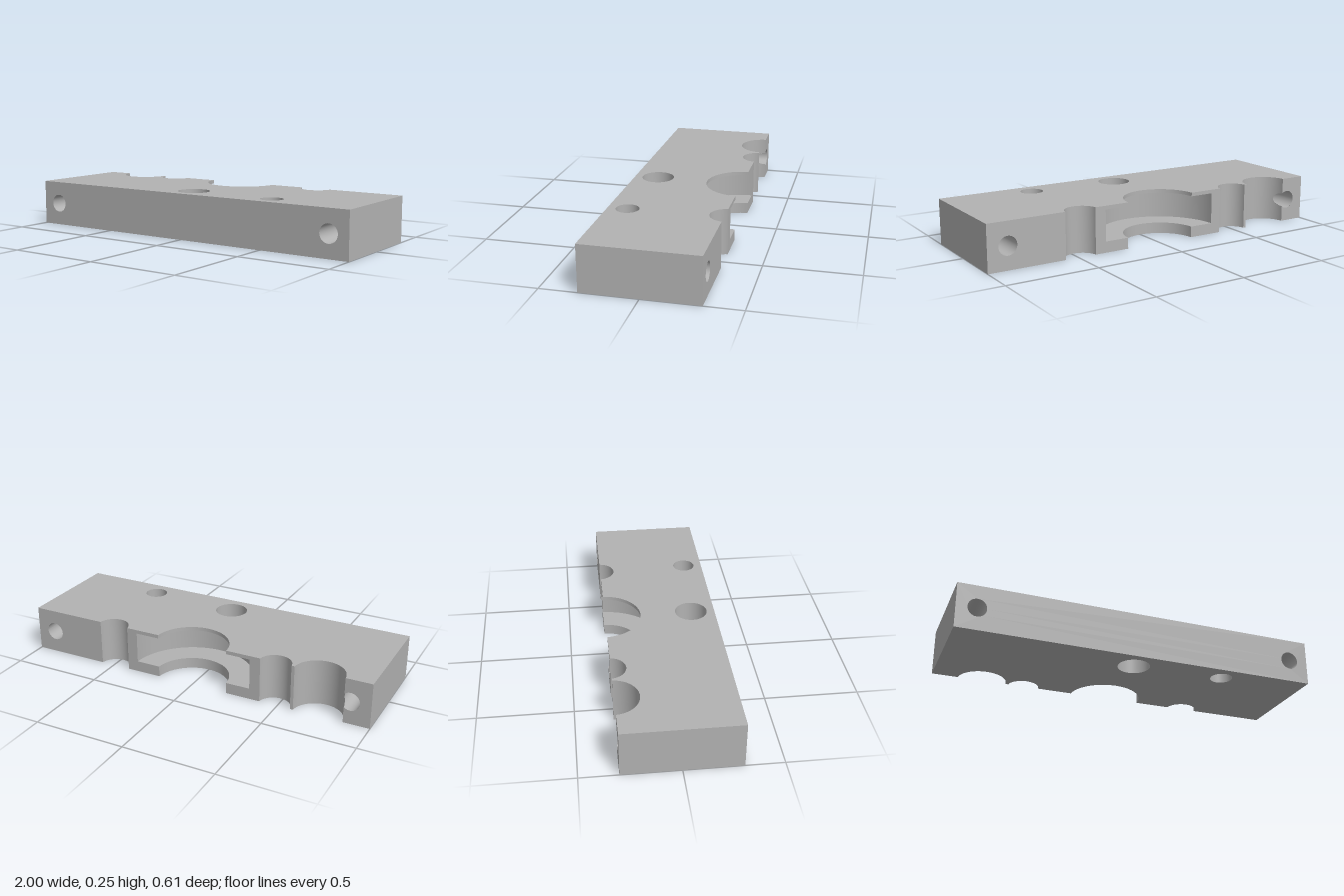
import * as THREE from 'three';

const H = 0.25, D = 0.3025;            // block height, half depth
const CZ = -0.311;                     // centre line of the rear scallops
const G0 = 0.06, G1 = 0.23, GR = 0.34; // ring groove: floor, ceiling, radius
const SEG = 24;
const scallops = [                     // right to left along the rear edge
  { x: 0.487, r: 0.087 }, { x: 0, r: 0.204 }, { x: -0.485, r: 0.087 }, { x: -0.723, r: 0.135 },
];
const shafts = [{ x: 0, z: 0.173, r: 0.088 }, { x: 0.509, z: 0.198, r: 0.061 }];
const BX = 0.89, BY = 0.125, BR = 0.05; // horizontal bolt holes

const tilt = (r) => Math.asin((-D - CZ) / r);
const edge = (s, side) => s.x + side * s.r * Math.cos(tilt(s.r));

export function createModel() {
  const group = new THREE.Group();
  const grey = new THREE.MeshStandardMaterial({ color: 0xb2b2b2, side: THREE.DoubleSide });
  grey.name = 'machined grey';

  const add = (name, geometry) => {
    const mesh = new THREE.Mesh(geometry, grey);
    mesh.name = name;
    group.add(mesh);
    return mesh;
  };
  const flip = (g) => {
    const index = g.index.array;
    for (let i = 0; i < index.length; i += 3) [index[i], index[i + 1]] = [index[i + 1], index[i]];
    g.computeVertexNormals();
    return g;
  };
  const polygon = (points) => new THREE.Shape(points.map((p) => new THREE.Vector2(...p)));
  const circle = (x, y, r) => new THREE.Path().absarc(x, y, r, 0, Math.PI * 2, true);

  // Horizontal plate from a plan drawn in (x, -z)
  const level = (name, shape, y, down) => {
    const g = new THREE.ShapeGeometry(shape, SEG).rotateX(-Math.PI / 2).translate(0, y, 0);
    add(name, down ? flip(g) : g);
  };
  // Upright plate drawn in (x, y)
  const upright = (name, shape, z, back) => {
    const g = new THREE.ShapeGeometry(shape, SEG).translate(0, 0, z);
    add(name, back ? flip(g) : g);
  };
  // Smooth surface stretched between two curves
  const ruled = (name, n, from, to) => {
    const pos = [], index = [];
    for (let i = 0; i <= n; i++) {
      pos.push(...from(i / n), ...to(i / n));
      const a = i * 2;
      if (i < n) index.push(a, a + 2, a + 1, a + 1, a + 2, a + 3);
    }
    const g = new THREE.BufferGeometry();
    g.setAttribute('position', new THREE.Float32BufferAttribute(pos, 3));
    g.setIndex(index);
    g.computeVertexNormals();
    add(name, g);
  };
  // Upright cylindrical wall; heights may depend on x
  const wall = (name, cx, cz, r, a0, a1, low, high, n = SEG * 2) => {
    const at = (height) => (t) => {
      const a = a0 + (a1 - a0) * t, x = cx + r * Math.cos(a);
      return [x, height(x), cz + r * Math.sin(a)];
    };
    ruled(name, n, at(low), at(high));
  };

  // Top and bottom faces with scalloped rear edge and two shafts
  const plan = new THREE.Shape();
  plan.moveTo(-1, -D).lineTo(1, -D).lineTo(1, D);
  for (const s of scallops) {
    const t = tilt(s.r);
    plan.lineTo(edge(s, 1), D);
    plan.absarc(s.x, -CZ, s.r, -t, -Math.PI + t, true);
  }
  plan.lineTo(-1, D);
  for (const s of shafts) plan.holes.push(circle(s.x, -s.z, s.r));
  level('topFace', plan, H, false);
  level('bottomFace', plan, 0, true);

  // Front face and ends
  const front = polygon([[-1, 0], [1, 0], [1, H], [-1, H]]);
  front.holes.push(circle(-BX, BY, BR), circle(BX, BY, BR));
  upright('frontFace', front, D, false);
  for (const side of [-1, 1]) {
    add(side > 0 ? 'leftEnd' : 'rightEnd',
      new THREE.PlaneGeometry(2 * D, H).rotateY(side * Math.PI / 2).translate(side, H / 2, 0));
  }

  // Rear face, in the lands between the scallops
  const [sLeft, sMain, sSmall, sWide] = scallops;
  const leftLand = polygon([[edge(sLeft, 1), 0], [1, 0], [1, H], [edge(sLeft, 1), H]]);
  leftLand.holes.push(circle(BX, BY, BR));
  upright('rearLeftLand', leftLand, -D, true);

  const gx = GR * Math.cos(tilt(GR)), mx = edge(sMain, 1);
  const grooveLand = (outer, side) => {
    const points = [[outer, 0], [mx, 0], [mx, G0], [gx, G0], [gx, G1], [mx, G1], [mx, H], [outer, H]];
    return polygon(points.map(([x, y]) => [side * x, y]));
  };
  upright('rearGrooveLandLeft', grooveLand(edge(sLeft, -1), 1), -D, true);
  upright('rearGrooveLandRight', grooveLand(-edge(sSmall, 1), -1), -D, true);

  const ax = edge(sWide, 1), bx = edge(sSmall, -1);
  upright('rearThinLand', polygon([[ax, 0], [bx, 0], [bx, H], [ax, H]]), -D, true);

  // The right bolt hole breaks into the wide scallop
  const cut = edge(sWide, -1), phi = Math.acos((cut + BX) / BR);
  const rightLand = new THREE.Shape();
  rightLand.moveTo(-1, 0).lineTo(cut, 0);
  rightLand.absarc(-BX, BY, BR, -phi, phi - Math.PI * 2, true);
  rightLand.lineTo(cut, H).lineTo(-1, H);
  upright('rearRightLand', rightLand, -D, true);

  // Scallop walls
  const zero = () => 0, full = () => H;
  const bite = (x) => Math.sqrt(Math.max(0, BR * BR - (x + BX) ** 2));
  for (const s of scallops) {
    const t = tilt(s.r), arc = [s.x, CZ, s.r, t, Math.PI - t];
    if (s === sMain) {
      wall('lowerLipWall', ...arc, zero, () => G0);
      wall('upperLipWall', ...arc, () => G1, full);
    } else if (s === sWide) {
      wall('wideScallopLower', ...arc, zero, (x) => BY - bite(x), SEG * 6);
      wall('wideScallopUpper', ...arc, (x) => BY + bite(x), full, SEG * 6);
    } else wall('smallScallop', ...arc, zero, full);
  }

  // Ring groove behind the main scallop
  const tg = tilt(GR), tm = tilt(sMain.r);
  wall('grooveWall', 0, CZ, GR, tg, Math.PI - tg, () => G0, () => G1);
  const ring = new THREE.Shape();
  ring.moveTo(gx, D);
  ring.absarc(0, -CZ, GR, -tg, -Math.PI + tg, true);
  ring.lineTo(-mx, D);
  ring.absarc(0, -CZ, sMain.r, -Math.PI + tm, -tm, false);
  level('grooveFloor', ring, G0, false);
  level('grooveCeiling', ring, G1, true);

  // Vertical shafts
  for (const s of shafts) wall('shaftWall', s.x, s.z, s.r, 0, Math.PI * 2, zero, full);

  // Horizontal bolt holes, the right one trimmed by the wide scallop
  for (const side of [-1, 1]) {
    const rear = (x) => side > 0 ? -D
      : Math.max(-D, CZ + Math.sqrt(Math.max(0, sWide.r ** 2 - (x - sWide.x) ** 2)));
    const at = (depth) => (t) => {
      const a = -t * Math.PI * 2, x = side * BX + BR * Math.cos(a);
      return [x, BY + BR * Math.sin(a), depth(x)];
    };
    ruled('boltHoleWall', SEG * 2, at(rear), at(() => D));
  }
  return group;
}
